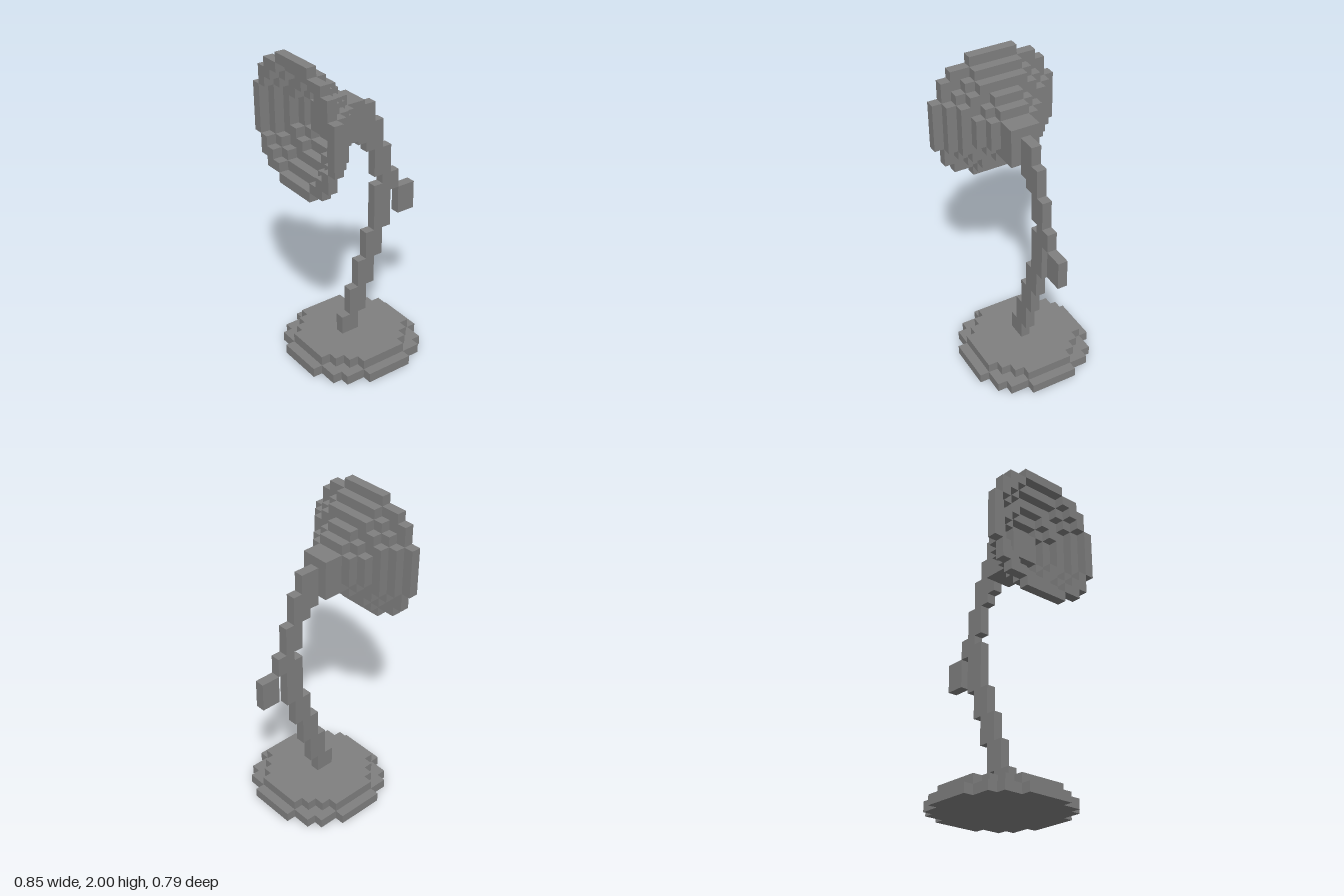
import * as THREE from 'three';
import { mergeGeometries } from 'three/addons/utils/BufferGeometryUtils.js';

const U = 2 / 33; // edge of one cube

// Box in cube units; x is counted from the model's right edge, z from the centre
function block(x0, x1, y0, y1, z0, z1) {
  return new THREE.BoxGeometry((x1 - x0) * U, (y1 - y0) * U, (z1 - z0) * U)
    .translate(((x0 + x1) / 2 - 7) * U, ((y0 + y1) / 2) * U, ((z0 + z1) / 2) * U);
}

// Half width of a stepped disc of odd diameter d at row k (negative if outside)
function halfWidth(d, k) {
  const s = (d * d) / 4 - k * k;
  return s > 0 ? Math.floor(Math.sqrt(s)) + 0.5 : -1;
}

// Rows [k, from, to] of a stepped disc, with an optional stepped hole
function discRows(d, hole = 0) {
  const rows = [];
  const r = (d - 1) / 2;
  for (let k = -r; k <= r; k++) {
    const outer = halfWidth(d, k);
    const inner = halfWidth(hole, k);
    if (inner < 0) rows.push([k, -outer, outer]);
    else if (inner < outer) rows.push([k, -outer, -inner], [k, inner, outer]);
  }
  return rows;
}

export function createModel() {
  const group = new THREE.Group();
  const grey = new THREE.MeshStandardMaterial({ color: 0x808080 });
  grey.name = 'grey';

  const add = (name, boxes) => {
    const mesh = new THREE.Mesh(mergeGeometries(boxes), grey);
    mesh.name = name;
    group.add(mesh);
  };

  // Two-step round base
  [[13, 'baseLower'], [11, 'baseUpper']].forEach(([d, name], y) => {
    add(name, discRows(d).map(([k, a, b]) => block(6.5 + a, 6.5 + b, y, y + 1, k - 0.5, k + 0.5)));
  });

  // Stepped curved arm: [x0, x1, y0, y1]
  const arm = [
    [5, 7, 2, 4], [6, 8, 4, 7], [7, 9, 7, 10], [8, 10, 10, 13], [9, 11, 13, 18],
    [10, 12, 17, 19], [9, 11, 19, 22], [8, 10, 22, 25], [7, 9, 23, 27],
  ];
  add('arm', arm.map((s) => block(...s, -0.5, 0.5)));

  // Knob behind the elbow
  add('knob', [block(12, 14, 14, 17, -0.5, 0.5)]);

  // Hollow shade: rings that shrink towards the socket
  for (let i = 0; i < 5; i++) {
    const d = 13 - 2 * i;
    add('shadeRing' + (i + 1),
      discRows(d, d - 2).map(([k, a, b]) => block(i, i + 1, 26 + k, 27 + k, a, b)));
  }

  // Socket and neck
  add('socket', [block(3, 5, 25, 28, -1.5, 1.5)]);
  add('neck', [block(5, 7, 24, 28, -1.5, 1.5)]);

  return group;
}
